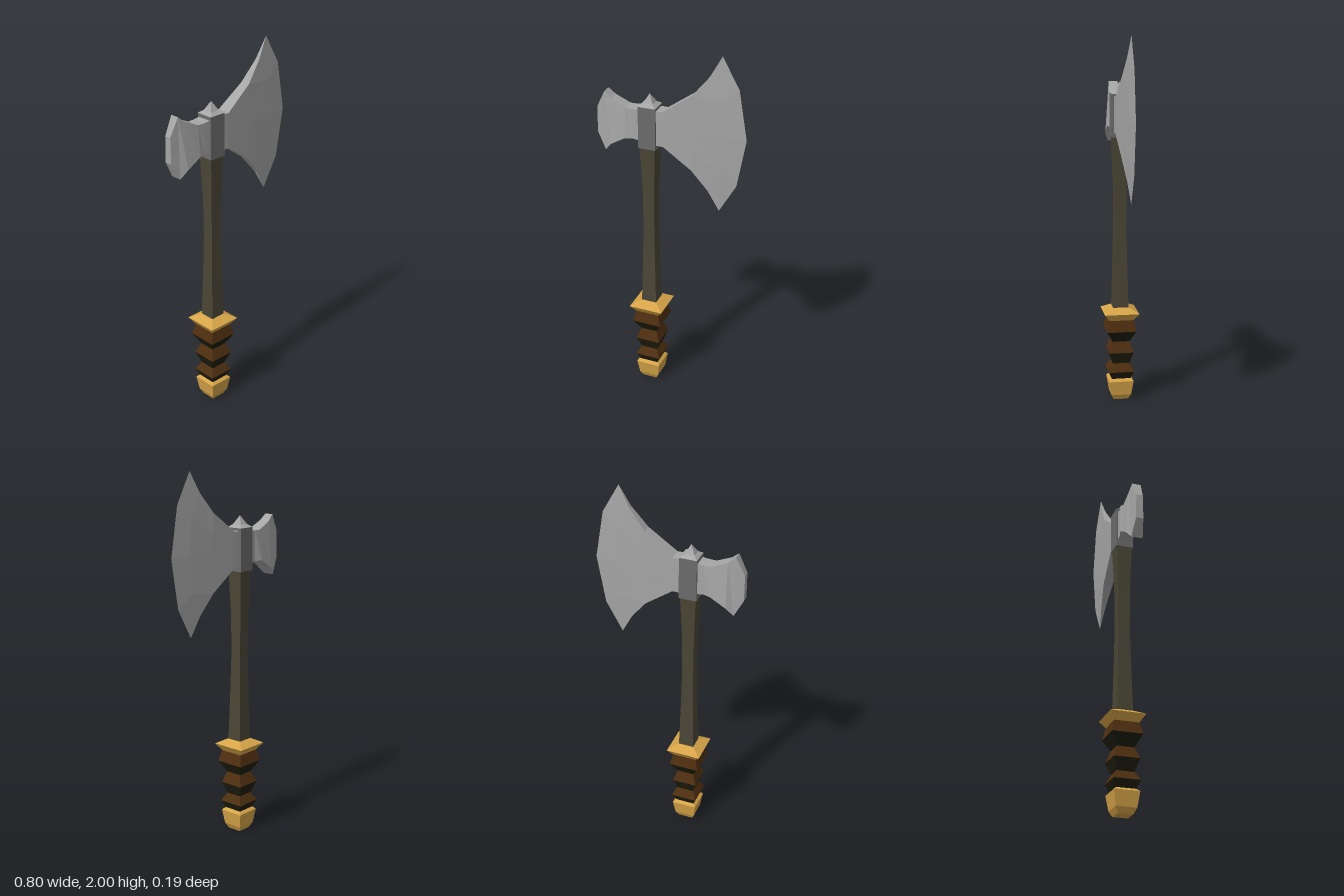
import * as THREE from 'three';

const mat = (name, color) => {
  const m = new THREE.MeshStandardMaterial({ color, flatShading: true });
  m.name = name;
  return m;
};

// Skin a list of point loops, each counter-clockwise seen from the end of the path
function loft(rings, capStart = true, capEnd = true) {
  const pos = [];
  const tri = (a, b, c) => pos.push(...a, ...b, ...c);
  const n = rings[0].length;
  for (let r = 0; r < rings.length - 1; r++) {
    const a = rings[r], b = rings[r + 1];
    for (let i = 0; i < n; i++) {
      const k = (i + 1) % n;
      tri(a[i], a[k], b[k]);
      tri(a[i], b[k], b[i]);
    }
  }
  const first = rings[0], last = rings[rings.length - 1];
  for (let i = 1; i < n - 1; i++) {
    if (capStart) tri(first[0], first[i + 1], first[i]);
    if (capEnd) tri(last[0], last[i], last[i + 1]);
  }
  const g = new THREE.BufferGeometry();
  g.setAttribute('position', new THREE.Float32BufferAttribute(pos, 3));
  g.computeVertexNormals();
  return g;
}

const AXIS = -0.115; // x of the handle
const MID = 1.58; // height of the blade's centre line

// Square column from [y, half width] pairs
const column = (profile) => loft(profile.map(([y, h]) =>
  [[1, 1], [1, -1], [-1, -1], [-1, 1]].map(([sx, sz]) => [AXIS + sx * h, y, sz * h])));

export function createModel() {
  const steel = mat('steel', 0xa6a6a6);
  const darkSteel = mat('dark steel', 0x6c6c6c);
  const gold = mat('gold', 0xd6a448);
  const wood = mat('shaft wood', 0x4a4636);
  const brown = mat('brown leather', 0x4f2f10);
  const black = mat('dark leather', 0x1d1d0e);

  const model = new THREE.Group();
  model.name = 'battleAxe';
  const add = (name, geometry, material) => {
    const mesh = new THREE.Mesh(geometry, material);
    mesh.name = name;
    model.add(mesh);
  };

  // Handle
  add('pommel', column([[0, 0.04], [0.03, 0.055], [0.11, 0.067], [0.125, 0.05]]), gold);
  const grip = [[0.12, 0.05], [0.165, 0.07], [0.21, 0.045], [0.275, 0.068],
    [0.335, 0.046], [0.398, 0.081], [0.46, 0.066]];
  for (let i = 0; i < grip.length - 1; i++) {
    add('gripBand' + (i + 1), column([grip[i], grip[i + 1]]), i % 2 ? brown : black);
  }
  add('guard', column([[0.46, 0.066], [0.5, 0.094], [0.527, 0.045]]), gold);
  add('shaft', column([[0.52, 0.042], [0.8, 0.035], [1.0, 0.031], [1.2, 0.032], [1.47, 0.042]]), wood);

  // Socket holding the head, with its pointed cap
  add('collar', column([[1.46, 0.047], [1.688, 0.047]]), darkSteel);
  add('capSpike', column([[1.688, 0.047], [1.703, 0.026], [1.75, 0]]), steel);

  // Blade: columns of [x, y offset, half thickness] for top corner, quarter and centre
  const blade = [
    [[-0.09, 0.095, 0.037], [-0.09, 0.048, 0.037], [-0.09, 0, 0.037]],
    [[-0.03, 0.095, 0.036], [-0.03, 0.048, 0.036], [-0.03, 0, 0.036]],
    [[0.12, 0.205, 0.026], [0.125, 0.1, 0.026], [0.13, 0, 0.026]],
    [[0.205, 0.31, 0.012], [0.265, 0.19, 0.013], [0.29, 0, 0.013]],
    [[0.265, 0.42, 0], [0.355, 0.26, 0], [0.4, 0, 0]],
  ];
  add('blade', loft(blade.map(([t, q, c]) => {
    const flip = ([x, y, z]) => [x, -y, z];
    const side = [t, q, c, flip(q), flip(t)];
    const front = side.map(([x, y, z]) => [x, MID + y, z]);
    const back = side.map(([x, y, z]) => [x, MID + y, -z]).reverse();
    return [...front, ...back];
  }), true, false), steel);

  // Hammer: x, top, bottom, half thickness at top and at bottom
  const hammer = [
    [-0.4, 1.64, 1.5, 0.018, 0.02],
    [-0.353, 1.735, 1.41, 0.024, 0.03],
    [-0.315, 1.702, 1.455, 0.03, 0.049],
    [-0.235, 1.665, 1.503, 0.035, 0.051],
    [-0.195, 1.665, 1.503, 0.037, 0.038],
    [-0.14, 1.672, 1.495, 0.037, 0.037],
  ];
  add('hammer', loft(hammer.map(([x, top, bottom, zt, zb]) =>
    [[x, top, zt], [x, bottom, zb], [x, bottom, -zb], [x, top, -zt]])), steel);

  return model;
}
